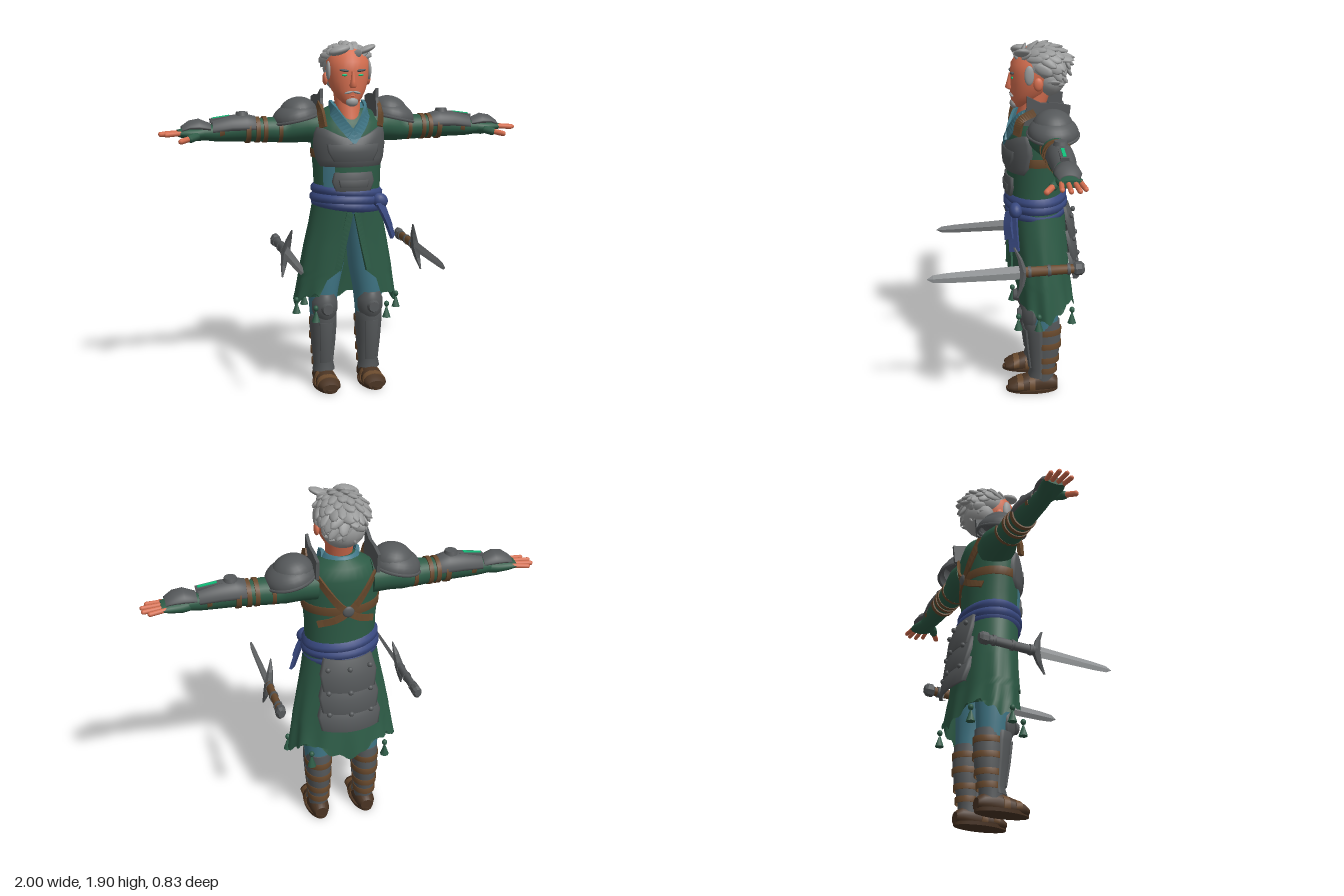
import * as THREE from 'three';

const mat = (name, color) => {
  const m = new THREE.MeshStandardMaterial({ color, side: THREE.DoubleSide });
  m.name = name;
  return m;
};
const V = (x, y, z) => new THREE.Vector3(x, y, z);

// Skin of elliptical sections [t, u, v, ru, rv, halfArc]; an arc makes a curved plate instead of a closed body.
function loft(rows, { axis = 'y', n = 28, arc = null, inset = 1, sag = 0, cap = true, flat = false, warp = null } = {}) {
  if (inset < 1) {
    const tuck = r => [r[0], r[1], r[2], r[3] * inset, r[4] * inset, r[5]];
    rows = [tuck(rows[0]), ...rows, tuck(rows[rows.length - 1])];
  }
  const pos = [], idx = [], m = arc ? n + 1 : n, mid = arc ? arc[0] : Math.PI / 2;
  const ring = ([t, u, v, ru, rv, half]) => {
    for (let j = 0; j < m; j++) {
      const h = half ?? (arc && arc[1]);
      const a = arc ? mid - h + (2 * h * j) / n : (j / n) * Math.PI * 2;
      const k = arc && (j === 0 || j === n) ? inset : 1;
      const c = Math.cos(a) * k, s = Math.sin(a) * k;
      const p = axis === 'y' ? V(u + ru * c, t - sag * Math.max(0, Math.cos(a - mid)) ** 2, v + rv * s)
        : axis === 'x' ? V(t, u + ru * s, v + rv * c) : V(u + ru * s, v + rv * c, t);
      if (warp) warp(p, a);
      pos.push(p.x, p.y, p.z);
    }
  };
  rows.forEach(ring);
  for (let i = 0; i < rows.length - 1; i++) for (let j = 0; j < n; j++) {
    const a = i * m + j, b = i * m + (j + 1) % m;
    idx.push(a, a + m, b, b, a + m, b + m);
  }
  if (!arc && cap) [rows[0], rows[rows.length - 1]].forEach((r, end) => {
    const s = pos.length / 3;
    ring(r);
    const c = [0, 0, 0];
    for (let j = 0; j < m; j++) for (let d = 0; d < 3; d++) c[d] += pos[(s + j) * 3 + d] / m;
    pos.push(...c);
    for (let j = 0; j < n; j++) end ? idx.push(s + m, s + (j + 1) % n, s + j) : idx.push(s + m, s + j, s + (j + 1) % n);
  });
  let g = new THREE.BufferGeometry();
  g.setAttribute('position', new THREE.Float32BufferAttribute(pos, 3));
  g.setIndex(idx);
  if (flat) g = g.toNonIndexed();
  g.computeVertexNormals();
  return g;
}

// Flat strap along a path, facing away from the body's vertical axis.
function ribbon(points, width, thick = 0.012) {
  const curve = new THREE.CatmullRomCurve3(points.map(p => V(...p))), pos = [], idx = [], n = 14;
  for (let i = 0; i <= n; i++) {
    const p = curve.getPoint(i / n), out = V(p.x, 0, p.z + 0.17).normalize();
    const side = curve.getTangent(i / n).cross(out).normalize();
    [[1, 1], [-1, 1], [-1, -1], [1, -1]].forEach(([s, o]) => {
      const q = p.clone().addScaledVector(side, s * width / 2).addScaledVector(out, o * thick / 2);
      pos.push(q.x, q.y, q.z);
    });
    if (i < n) for (let j = 0; j < 4; j++) {
      const a = i * 4 + j, b = i * 4 + (j + 1) % 4;
      idx.push(a, b, a + 4, b, b + 4, a + 4);
    }
  }
  idx.push(0, 2, 1, 0, 3, 2, n * 4, n * 4 + 1, n * 4 + 2, n * 4, n * 4 + 2, n * 4 + 3);
  const g = new THREE.BufferGeometry();
  g.setAttribute('position', new THREE.Float32BufferAttribute(pos, 3));
  g.setIndex(idx);
  const f = g.toNonIndexed();
  f.computeVertexNormals();
  return f;
}

export function createModel() {
  const green = mat('green cloth', 0x2d5b46), teal = mat('teal cloth', 0x417888), steel = mat('dark steel', 0x55585a);
  const brown = mat('brown leather', 0x6a4a2d), boot = mat('dark leather', 0x4a3423), blue = mat('blue sash', 0x38487f);
  const skin = mat('skin', 0xd66f50), hair = mat('grey hair', 0x999a9a), blade = mat('bright steel', 0x8d9092), glow = mat('emerald', 0x12bf7a);
  const root = new THREE.Group();
  root.name = 'swordsman';
  const left = new THREE.Group(), right = new THREE.Group();
  left.name = 'leftSide'; right.name = 'rightSide';
  right.scale.x = -1;
  root.add(left, right);
  const add = (name, g, m, parent = root) => {
    const o = new THREE.Mesh(g, m);
    o.name = name;
    parent.add(o);
    return o;
  };
  const both = (name, g, m, place) => [left, right].forEach(s => { const o = add(name, g, m, s); if (place) place(o); });
  const ball = new THREE.SphereGeometry(1, 16, 12);
  const blob = (name, p, s, m, parent, rz = 0) => {
    const set = o => { o.position.set(...p); o.scale.set(...s); o.rotation.z = rz; };
    parent ? set(add(name, ball, m, parent)) : both(name, ball, m, set);
  };
  const rod = (name, a, b, r, m) => {
    const d = V(...b).sub(V(...a));
    both(name, new THREE.CapsuleGeometry(r, d.length() - r, 4, 8), m, o => {
      o.position.copy(V(...a)).addScaledVector(d, 0.5);
      o.quaternion.setFromUnitVectors(V(0, 1, 0), d.clone().normalize());
    });
  };
  const F = Math.PI / 2, B = -Math.PI / 2;

  // Torso
  add('tunic', loft([[1, 0, -.165, .18, .145], [1.1, 0, -.16, .182, .148], [1.2, 0, -.16, .184, .148], [1.3, 0, -.16, .193, .152],
    [1.4, 0, -.165, .198, .15], [1.47, 0, -.18, .19, .138], [1.53, 0, -.19, .14, .11], [1.56, 0, -.18, .08, .08]]), green);
  add('breastplate', loft([[1.24, 0, -.16, .19, .158, 1.15], [1.28, 0, -.16, .2, .166, 1.3], [1.35, 0, -.16, .207, .17, 1.4],
    [1.41, 0, -.16, .206, .165, 1.35], [1.45, 0, -.16, .2, .155, 1.25]], { arc: [F, 1.3], inset: .92, warp: (p, a) => { if (p.y > 1.38) p.y -= .06 * Math.sin(a) ** 4; } }), steel);
  add('breastplateRidge', loft([[1.27, 0, -.16, .203, .17, .6], [1.32, 0, -.16, .212, .176, .75], [1.36, 0, -.16, .21, .174, .8]], { arc: [F, .7], inset: .93 }), steel);
  add('bellyPlate', loft([[1.11, 0, -.16, .195, .16, .55], [1.16, 0, -.16, .2, .164, .66], [1.21, 0, -.16, .196, .16, .6]], { arc: [F, .6], inset: .93 }), steel);
  add('bellyBoss', loft([[1.13, 0, -.16, .203, .168, .4], [1.17, 0, -.16, .205, .17, .45]], { arc: [F, .4], inset: .94 }), steel);
  add('undershirtPatch', loft([[1.13, 0, -.16, .187, .152], [1.24, 0, -.16, .191, .154]], { arc: [F + .75, .2] }), teal);
  add('chestBelt', loft([[1.285, 0, -.16, .198, .156], [1.33, 0, -.16, .201, .159]], { arc: [B, 2], inset: .96 }), brown);
  both('backStrap', ribbon([[.15, 1.5, -.28], [.1, 1.42, -.304], [.04, 1.34, -.316], [-.05, 1.27, -.312], [-.14, 1.23, -.266]], .035), brown);
  blob('backRing', [0, 1.31, -.322], [.03, .03, .012], steel, root);
  both('shoulderStrap', ribbon([[.16, 1.57, -.14], [.165, 1.53, -.07], [.155, 1.45, -.05]], .04, .02), brown);

  // Scarf and neck
  add('collar', loft([[1.44, 0, -.17, .15, .13], [1.52, 0, -.17, .115, .11], [1.57, 0, -.165, .085, .085], [1.575, 0, -.165, .075, .075]], { cap: false, sag: .05 }), teal);
  both('scarfFold', ribbon([[.09, 1.56, -.17], [.09, 1.53, -.085], [.05, 1.46, -.035], [-.015, 1.38, -.002]], .055, .016), teal);
  add('neck', loft([[1.45, 0, -.105, .045, .055], [1.5, 0, -.12, .065, .066], [1.56, 0, -.14, .068, .068], [1.66, 0, -.16, .075, .08]]), skin);

  // Head
  add('head', loft([[1.565, 0, -.085, .025, .032], [1.575, 0, -.088, .042, .048], [1.6, 0, -.1, .066, .066], [1.64, 0, -.12, .09, .091],
    [1.69, 0, -.135, .108, .107], [1.74, 0, -.142, .115, .115], [1.79, 0, -.15, .115, .12], [1.84, 0, -.165, .095, .105], [1.87, 0, -.17, .05, .06]]), skin);
  add('nose', loft([[1.655, 0, -.03, .012, .014], [1.666, 0, -.028, .021, .027], [1.69, 0, -.03, .013, .022], [1.74, 0, -.033, .009, .012]], { n: 10 }), skin);
  blob('ear', [.118, 1.7, -.16], [.014, .034, .024], skin);
  blob('eye', [.043, 1.722, -.035], [.016, .006, .006], glow);
  blob('brow', [.045, 1.746, -.034], [.027, .007, .01], steel, null, .12);
  blob('moustache', [.02, 1.632, -.036], [.026, .007, .012], hair, null, -.25);
  blob('goatee', [0, 1.582, -.048], [.034, .026, .022], hair, root);
  blob('lip', [0, 1.615, -.038], [.018, .005, .008], skin, root);
  blob('sideburn', [.112, 1.745, -.115], [.012, .05, .025], hair);

  // Swept-back hair built of tapering locks
  blob('hairCap', [.004, 1.785, -.19], [.125, .095, .13], hair, root);
  blob('nape', [0, 1.715, -.225], [.108, .095, .088], hair, root);
  let seed = 7;
  const rnd = () => (seed = (seed * 16807) % 2147483647) / 2147483647;
  const lock = new THREE.SphereGeometry(1, 8, 6);
  for (let i = 0; i < 90; i++) {
    const dy = 1 - (i + .5) / 90 * 1.75, r = Math.sqrt(1 - dy * dy), a = i * 2.39996;
    const d = V(r * Math.cos(a), dy, r * Math.sin(a));
    if ((d.z > .1 && d.y < .35) || (d.z > -.25 && d.y < -.1)) continue;
    const low = d.y < 0 ? d.y : 0;
    const N = V(d.x / .125, d.y / .1, d.z / .13).normalize();
    const T = V(d.x * .5 + (rnd() - .5) * .7, -.4 + (rnd() - .3) * .5, -1 + Math.max(0, -d.z) * .9);
    T.addScaledVector(N, .25 - T.dot(N)).normalize();
    const X = T.clone().cross(N).normalize(), Y = X.clone().cross(T).negate();
    const o = add('hairLock', lock, hair);
    o.quaternion.setFromRotationMatrix(new THREE.Matrix4().makeBasis(X, Y, X.clone().cross(Y)));
    o.position.set(.005 + d.x * (.122 + low * .03), 1.785 + d.y * (d.y < 0 ? .15 : .093), -.19 + d.z * (.128 + low * .03));
    o.scale.set(.022 + rnd() * .01, .013, .045 + rnd() * .02);
  }
  blob('quiff', [.085, 1.855, -.08], [.055, .018, .04], hair, root, .4);
  blob('quiffSide', [-.06, 1.85, -.08], [.06, .024, .045], hair, root, .3);

  // Shoulder armour
  const dome = new THREE.SphereGeometry(1, 24, 10, 0, Math.PI * 2, 0, Math.PI * .55);
  [[.268, 1.49, .128, .085, .128], [.255, 1.515, .105, .088, .105]].forEach(([x, y, a, b, c]) =>
    both('pauldron', dome, steel, o => { o.position.set(x, y, -.22); o.scale.set(a, b, c); o.rotation.z = -.22; }));
  both('pauldronRim', new THREE.TorusGeometry(1, .07, 6, 28), steel, o => { o.position.set(.268, 1.485, -.22); o.rotation.set(F, -.22, 0); o.scale.set(.126, .126, .12); });
  const fin = new THREE.Shape([[.08, 1.5], [.1, 1.6], [.1, 1.65], [.17, 1.615], [.25, 1.615], [.32, 1.6], [.31, 1.5]].map(p => new THREE.Vector2(...p)));
  both('collarFin', new THREE.ExtrudeGeometry(fin, { depth: .016, bevelEnabled: false }), steel, o => { o.rotation.y = F; o.position.x = .145; });

  // Arms
  const armRing = (x, w, r, s = .07) => loft([[x, 1.432, -.22, r, s], [x + w, 1.432, -.22, r, s]], { axis: 'x', n: 20 });
  both('sleeve', loft([[.14, 1.44, -.2, .09, .1], [.22, 1.445, -.21, .085, .1], [.3, 1.435, -.22, .078, .08], [.34, 1.425, -.22, .065, .072], [.4, 1.43, -.22, .068, .07],
    [.46, 1.43, -.22, .063, .065], [.52, 1.435, -.22, .065, .062], [.6, 1.43, -.22, .058, .058], [.7, 1.42, -.22, .046, .05], [.78, 1.42, -.22, .036, .045]], { axis: 'x' }), green);
  [[.35, .02, .072, .077], [.43, .022, .071, .074], [.47, .022, .07, .072], [.52, .025, .07, .07], [.66, .025, .055, .056]].forEach(b => both('armBand', armRing(...b), brown));
  both('bracer', loft([[.49, 1.43, -.22, .075, .064], [.54, 1.435, -.22, .083, .07], [.62, 1.435, -.22, .077, .068], [.72, 1.425, -.22, .062, .055]], { axis: 'x', arc: [F, 1.6], inset: .88 }), steel);
  both('bracerDisc', new THREE.CylinderGeometry(.03, .036, .02, 16), steel, o => o.position.set(.56, 1.519, -.22));
  both('bracerRidge', new THREE.BoxGeometry(.13, .022, .04), steel, o => { o.position.set(.665, 1.492, -.22); o.rotation.z = -.14; });
  both('glowStrip', new THREE.BoxGeometry(.095, .006, .016), glow, o => { o.position.set(.673, 1.504, -.22); o.rotation.z = -.14; });
  both('cuff', loft([[.73, 1.43, -.22, .042, .05], [.79, 1.435, -.22, .062, .064], [.84, 1.438, -.22, .05, .066], [.88, 1.43, -.22, .03, .05]], { axis: 'x', arc: [F, 1.4], inset: .85 }), steel);
  both('glove', loft([[.75, 1.418, -.22, .036, .042], [.8, 1.415, -.22, .037, .056], [.86, 1.42, -.225, .03, .062], [.9, 1.422, -.23, .018, .056]], { axis: 'x', n: 16 }), green);
  [[-.27, .97, -.285], [-.245, .998, -.255], [-.215, 1, -.215], [-.185, .975, -.178]].forEach(([z, x, tz]) => rod('finger', [.87, 1.424, z], [x - .006, 1.416, tz], .012, skin));
  rod('thumb', [.815, 1.405, -.175], [.9, 1.385, -.115], .015, skin);
  rod('thumbGuard', [.8, 1.41, -.18], [.85, 1.395, -.15], .022, green);

  // Skirted coat, open at the front, with folds and a ragged hem
  const gap = g => Math.PI - g;
  add('coatSkirt', loft([[.45, 0, -.205, .285, .172, gap(.75)], [.53, 0, -.2, .278, .17, gap(.68)], [.62, 0, -.195, .265, .162, gap(.55)], [.67, 0, -.19, .258, .158, gap(.3)],
    [.8, 0, -.185, .235, .153, gap(.19)], [.92, 0, -.175, .21, .15, gap(.08)], [1.05, 0, -.165, .188, .15, gap(.01)]], {
    arc: [B, 3], n: 72, warp: (p, a) => {
      const low = Math.max(0, 1 - (p.y - .45) / .5), k = 1 + .035 * low * Math.cos(a * 11);
      p.x *= k; p.z = -.2 + (p.z + .2) * k;
      if (p.y < .5) p.y += .05 + .04 * Math.cos(a * 4 + Math.PI) + .012 * Math.sin(a * 17);
    },
  }), green);
  both('coatLapel', ribbon([[.02, .99, -.016], [.055, .82, -.024], [.085, .68, -.026]], .035, .012), green);
  [[.285, .5, -.16], [.2, .47, -.06], [.2, .5, -.345]].forEach(([x, y, z]) => {
    blob('tasselKnot', [x, y, z], [.014, .016, .014], green);
    both('tassel', new THREE.ConeGeometry(.024, .07, 7), green, o => o.position.set(x, y - .04, z));
  });

  // Sash, knot and tails
  [[1.025, .196, -.1], [1.06, .203, -.04], [1.1, .198, -.09]].forEach(([y, r, tilt]) => {
    add('sashWrap', loft([[-.03, 0, 0, r - .015, r - .053], [-.012, 0, 0, r, r - .035], [.012, 0, 0, r, r - .035], [.03, 0, 0, r - .018, r - .055]], { n: 36 }), blue)
      .position.set(0, y, -.163);
    root.children[root.children.length - 1].rotation.z = tilt;
  });
  blob('sashKnot', [.155, 1.05, -.045], [.045, .04, .035], blue, root, -.5);
  add('sashTail', ribbon([[.155, 1.04, -.03], [.185, .96, -.03], [.225, .85, -.035]], .055, .016), blue);
  add('sashTail', ribbon([[.14, 1.04, -.015], [.17, .98, -.005], [.2, .91, -.01]], .05, .016), blue);

  // Layered armour at the back of the hips
  [[1.07, .9, 0], [.94, .78, .015], [.82, .68, .03]].forEach(([top, bot, o]) => {
    add('hipPlate', loft([[bot, 0, -.18, .25 + o, .2 + o, .62], [(top + bot) / 2, 0, -.18, .24 + o, .19 + o, .72], [top, 0, -.18, .22 + o, .16 + o, .66]], { arc: [B, .7], inset: .93, sag: .03 }), steel);
    [-1, 0, 1].forEach(s => blob('rivet', [s * .11, top - .07, -.365 - o + Math.abs(s) * .022], [.014, .014, .012], steel, root));
  });

  // Legs and boots
  both('trouserLeg', loft([[.36, .13, -.2, .066, .075], [.45, .13, -.195, .074, .085], [.55, .128, -.19, .084, .094], [.68, .115, -.185, .098, .105], [.85, .1, -.18, .1, .11], [1, .085, -.17, .09, .11]]), teal);
  both('bootShaft', loft([[.05, .13, -.2, .05, .06], [.12, .13, -.2, .052, .062], [.22, .13, -.21, .06, .076], [.32, .13, -.21, .068, .085], [.42, .13, -.205, .068, .082]]), steel);
  [[.13, .06, .07], [.195, .066, .08], [.28, .072, .09], [.36, .073, .09]].forEach(([y, a, b]) =>
    both('calfStrap', loft([[y - .016, .13, -.208, a, b], [y + .016, .13, -.208, a, b]], { arc: [B, 1.9], inset: .94 }), brown));
  both('greave', loft([[.09, .13, -.2, .066, .082], [.13, .13, -.2, .058, .07], [.25, .13, -.2, .07, .088], [.36, .13, -.2, .078, .1], [.41, .13, -.195, .076, .104]], { arc: [F, 1.45], inset: .9 }), steel);
  both('greaveRidge', loft([[.14, .13, -.2, .063, .08], [.26, .13, -.2, .076, .098], [.37, .13, -.2, .084, .11]], { arc: [F, .5], inset: .92 }), steel);
  both('kneeGuard', loft([[.39, .13, -.17, .06, .075, 1.2], [.44, .13, -.17, .075, .095, 1.4], [.49, .13, -.17, .074, .092, 1.4], [.53, .13, -.17, .064, .08, .9]], { arc: [F, 1.3], inset: .88 }), steel);
  both('kneeDisc', new THREE.CylinderGeometry(.028, .036, .022, 12), steel, o => { o.position.set(.13, .455, -.07); o.rotation.x = F; });
  const ground = p => { p.y = Math.max(p.y, .004); };
  both('shoe', loft([[-.28, .13, .04, .035, .03], [-.25, .13, .045, .05, .05], [-.18, .13, .045, .055, .07], [-.1, .13, .035, .06, .055], [-.04, .13, .03, .063, .035], [-.012, .13, .025, .045, .022]], { axis: 'z', n: 20, warp: ground }), boot);
  both('sole', loft([[0, .13, -.142, .063, .142], [.018, .13, -.142, .066, .143]]), boot);
  [-.14, -.075].forEach(z => both('shoeStrap', loft([[z - .016, .13, .04, .062, .062 + (z + .14) * -.25], [z + .016, .13, .037, .065, .056 + (z + .14) * -.25]], { axis: 'z', n: 20, warp: ground }), brown));

  // Swords floating beside the hips
  [[left, .42, brown], [right, .36, steel]].forEach(([side, tip, grip]) => {
    const s = new THREE.Group();
    s.name = 'sword';
    s.position.set(.362, .785, 0);
    s.rotation.set(.05, 0, .2);
    side.add(s);
    add('blade', loft([[-.06, 0, 0, .009, .036], [tip - .1, 0, 0, .007, .026], [tip - .03, 0, 0, .005, .02], [tip, 0, 0, .001, .002]], { axis: 'z', n: 4, flat: true }), blade, s);
    add('guard', loft([[-.13, 0, -.03, .004, .006], [-.07, 0, -.055, .016, .014], [0, 0, -.07, .024, .022], [.07, 0, -.055, .016, .014], [.13, 0, -.03, .004, .006]], { n: 6, flat: true }), steel, s);
    add('grip', loft([[-.33, 0, 0, .02, .024], [-.2, 0, 0, .019, .026], [-.08, 0, 0, .02, .027]], { axis: 'z', n: 10 }), grip, s);
    [-.3, -.2, -.1].forEach(z => add('gripRing', loft([[z - .008, 0, 0, .024, .03], [z + .008, 0, 0, .024, .03]], { axis: 'z', n: 10 }), steel, s));
    add('pommel', loft([[-.38, 0, 0, .016, .022], [-.365, 0, 0, .026, .036], [-.335, 0, 0, .026, .036], [-.32, 0, 0, .016, .022]], { axis: 'z', n: 8, flat: true }), steel, s);
  });
  return root;
}
